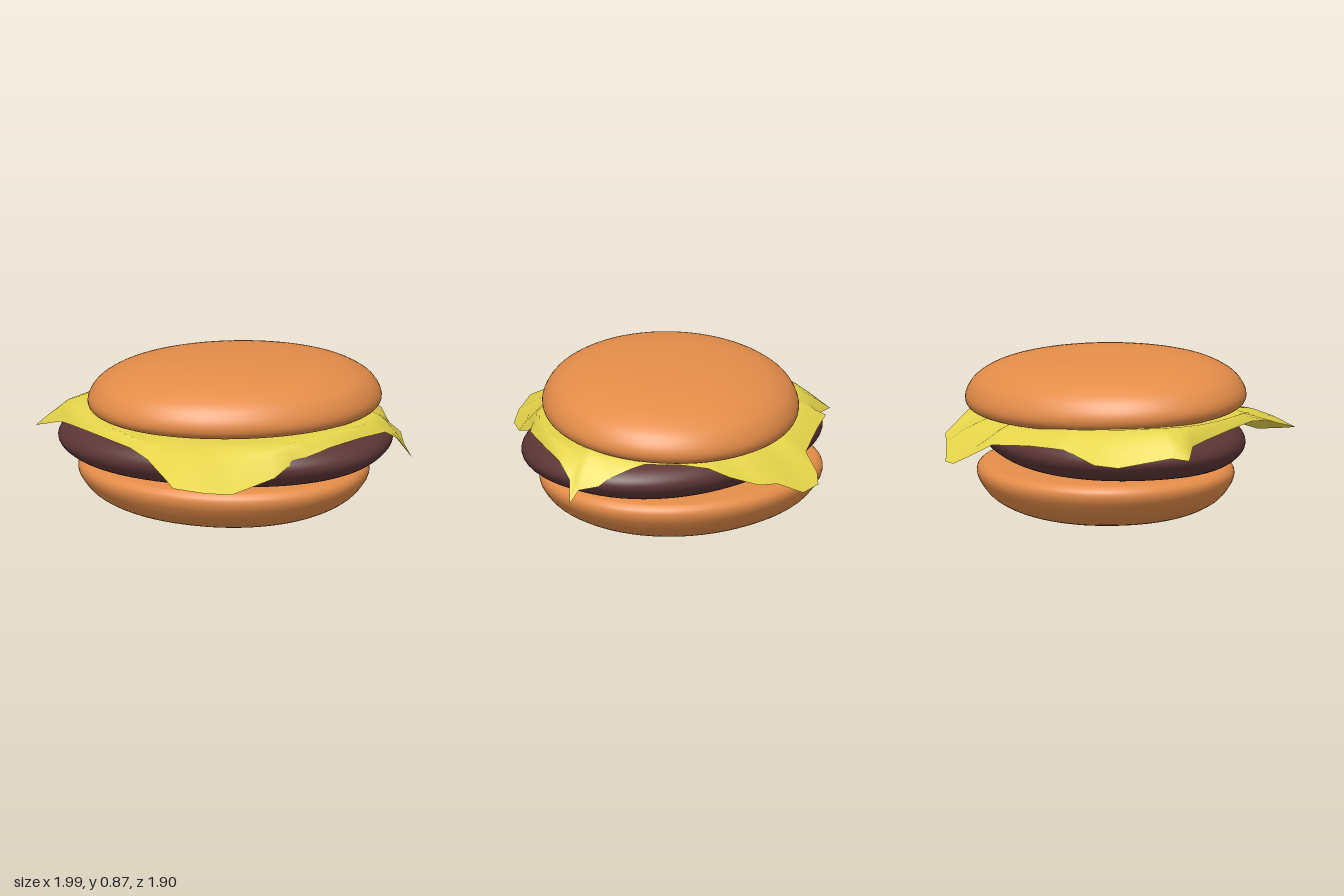
import * as THREE from 'three';

const BUN = 0xe58d49, MEAT = 0x5e3636, LEAF = 0xe6d54a;

// Smooth rounded disc: profile of [radius 0..1, height], stretched to a
// slightly squared oval (power 2 is a plain ellipse)
function oval(name, profile, color, rx, rz, power, pos, rot) {
  const curve = new THREE.SplineCurve(profile.map(p => new THREE.Vector2(...p)));
  const pts = curve.getPoints(48);
  pts.forEach(p => { p.x = Math.max(0, p.x); });
  const geo = new THREE.LatheGeometry(pts, 72);
  const at = geo.attributes.position;
  for (let i = 0; i < at.count; i++) {
    const x = at.getX(i), z = at.getZ(i), r = Math.hypot(x, z);
    if (r < 1e-6) continue;
    const k = Math.pow(Math.abs(x / r) ** power + Math.abs(z / r) ** power, -1 / power);
    at.setX(i, x * k);
    at.setZ(i, z * k);
  }
  const mesh = new THREE.Mesh(geo, new THREE.MeshStandardMaterial({ color }));
  mesh.name = name;
  mesh.scale.set(rx, 1, rz);
  mesh.position.set(...pos);
  mesh.rotation.set(...rot);
  return mesh;
}

// Ragged edge of the leaf as [x, y, z], going round from the right tip
const EDGE = [
  [-1, 0.45, 0.05], [-0.95, 0.46, -0.03], [-0.93, 0.42, -0.32], [-0.86, 0.43, -0.43],
  [-0.64, 0.48, -0.52], [-0.63, 0.49, -0.58], [-0.45, 0.48, -0.66], [-0.2, 0.45, -0.78],
  [-0.14, 0.38, -0.9], [-0.08, 0.34, -0.955], [0.05, 0.33, -0.955], [0.2, 0.41, -0.9],
  [0.32, 0.43, -0.87], [0.43, 0.48, -0.76], [0.5, 0.53, -0.67], [0.58, 0.545, -0.54],
  [0.7, 0.55, -0.4], [0.77, 0.54, -0.37], [0.84, 0.48, -0.27], [0.9, 0.45, -0.25],
  [0.94, 0.42, -0.15], [0.99, 0.35, -0.125], [0.93, 0.46, -0.08], [0.88, 0.53, 0.03],
  [0.78, 0.54, 0.2], [0.66, 0.53, 0.36], [0.57, 0.51, 0.46], [0.49, 0.48, 0.52],
  [0.42, 0.43, 0.65], [0.23, 0.38, 0.83], [0.1, 0.4, 0.9], [-0.06, 0.43, 0.945],
  [-0.13, 0.46, 0.86], [-0.25, 0.51, 0.72], [-0.37, 0.53, 0.6], [-0.6, 0.53, 0.4],
  [-0.77, 0.52, 0.23], [-0.85, 0.5, 0.12],
];

// Leaf: flat on the patty, bending down past a knee line towards the ragged edge
function makeLeaf() {
  const n = EDGE.length, pos = [0, 0.553, 0], index = [];
  const rings = [[0.5, 0], [0.85, 0], [1, 0], [1, 0.33], [1, 0.67], [1, 1]];
  for (const [inner, outer] of rings) {
    EDGE.forEach(([x, y, z], i) => {
      const r = Math.hypot(x, z);
      const ellipse = 1 / Math.hypot(x / r / 0.79, z / r / 0.6);
      const k = Math.min(ellipse, r * 0.93) / r;
      const kx = x * k, kz = z * k;
      const kneeY = 0.553 + 0.07 * kx * kx * inner ** 3 + 0.01 * kz;
      const s = inner * (k + (1 - k) * outer);
      const ripple = outer > 0 && outer < 1 ? 0.012 * Math.sin(i * 1.9) : 0;
      pos.push(x * s, kneeY + (y - kneeY) * outer ** 1.4 + ripple, z * s);
    });
  }
  for (let i = 0; i < n; i++) {
    const j = (i + 1) % n;
    index.push(0, 1 + i, 1 + j);
    for (let r = 0; r < rings.length - 1; r++) {
      const a = 1 + r * n + i, b = 1 + r * n + j;
      index.push(a, a + n, b, b, a + n, b + n);
    }
  }
  // The edge runs clockwise from above, so flip the faces to point up
  for (let t = 0; t < index.length; t += 3) {
    [index[t + 1], index[t + 2]] = [index[t + 2], index[t + 1]];
  }
  const geo = new THREE.BufferGeometry();
  geo.setAttribute('position', new THREE.Float32BufferAttribute(pos, 3));
  geo.setIndex(index);
  geo.computeVertexNormals();
  const mesh = new THREE.Mesh(
    geo, new THREE.MeshStandardMaterial({ color: LEAF, side: THREE.DoubleSide })
  );
  mesh.name = 'lettuceLeaf';
  return mesh;
}

export function createModel() {
  const group = new THREE.Group();
  group.name = 'burger';

  group.add(oval('bottomBun', [
    [0, 0.003], [0.25, 0.006], [0.5, 0.022], [0.72, 0.06], [0.88, 0.118], [0.97, 0.19],
    [1, 0.245], [0.975, 0.285], [0.89, 0.302], [0.5, 0.303], [0, 0.303],
  ], BUN, 0.775, 0.675, 2.1, [-0.015, 0, -0.09], [0, -0.2, 0.01]));

  group.add(oval('patty', [
    [0, 0.3], [0.5, 0.3], [0.74, 0.306], [0.88, 0.335], [0.97, 0.385], [1, 0.435],
    [0.97, 0.483], [0.89, 0.52], [0.74, 0.537], [0.45, 0.541], [0, 0.541],
  ], MEAT, 0.885, 0.665, 2.25, [0.007, 0, -0.045], [0, -0.04, 0.012]));

  group.add(makeLeaf());

  group.add(oval('topBun', [
    [0, 0.558], [0.5, 0.555], [0.84, 0.562], [0.96, 0.585], [1, 0.63], [0.98, 0.69],
    [0.91, 0.752], [0.76, 0.81], [0.53, 0.847], [0.25, 0.863], [0, 0.866],
  ], BUN, 0.785, 0.675, 2, [0.05, 0, -0.04], [-0.05, 0.55, 0.008]));

  return group;
}
